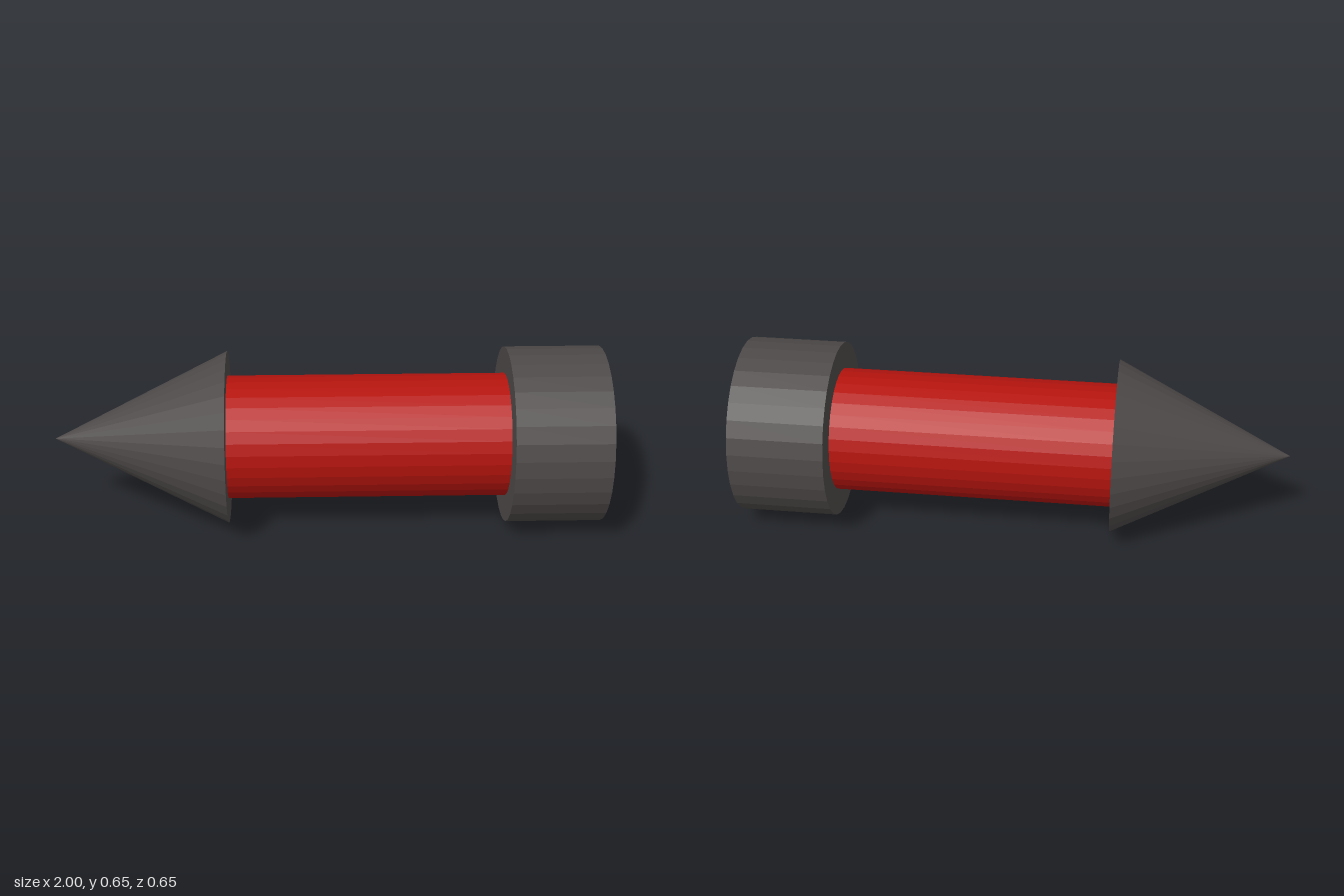
import * as THREE from 'three';

const AXIS_HEIGHT = 0.323;
const SIDES = 32;

const material = (color) => new THREE.MeshStandardMaterial({ color, flatShading: true });

// A round part lying along x, from x0 (radius r0) to x1 (radius r1)
function roundPart(name, geometry, x0, x1, mat) {
  geometry.rotateZ(Math.PI / 2); // +y end turns towards -x
  const mesh = new THREE.Mesh(geometry, mat);
  mesh.name = name;
  mesh.position.set((x0 + x1) / 2, AXIS_HEIGHT, 0);
  return mesh;
}

export function createModel() {
  const group = new THREE.Group();
  group.name = 'arrow';

  const grey = material(0x4d4948);
  const red = material(0xb5140e);

  const tipEnd = -0.365;
  const capStart = 0.652;

  // Pointed tip
  group.add(roundPart('tip', new THREE.ConeGeometry(0.316, tipEnd + 1, SIDES), -1, tipEnd, grey));

  // Red shaft
  group.add(roundPart('shaft',
    new THREE.CylinderGeometry(0.226, 0.226, capStart - tipEnd, SIDES), tipEnd, capStart, red));

  // Wide end cap
  group.add(roundPart('endCap',
    new THREE.CylinderGeometry(0.323, 0.323, 1 - capStart, SIDES), capStart, 1, grey));

  return group;
}
